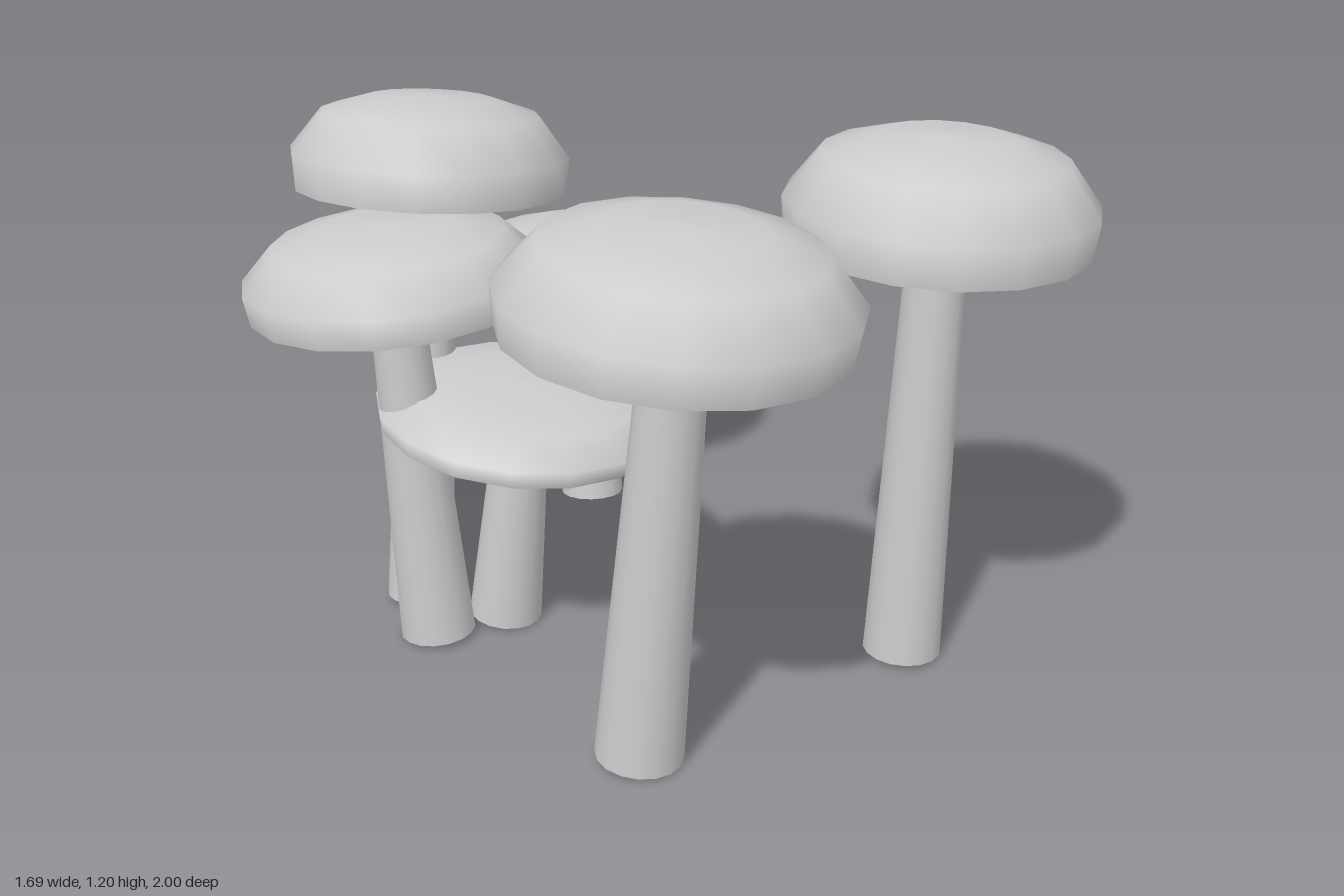
import * as THREE from 'three';

const SIDES = 16;

// Cap top: bottom rim, outer rim, shoulder, crown (fractions of radius and height)
const CAP = [[0.97, 0], [1, 0.38], [0.78, 0.8], [0.45, 0.95], [0, 1]];
// Underside: slightly bulging centre with a thin lip around it
const UNDER = [[0, -0.07], [0.5, -0.03], [0.9, 0.07], [0.97, 0]];

function lathe(profile, radius, height) {
  const points = profile.map(([r, y]) => new THREE.Vector2(r * radius, y * height));
  return new THREE.LatheGeometry(points, SIDES);
}

// base and top are the ends of the leaning stem; the cap sits square on its axis
function createMushroom({ base, top, r0, r1, cap, h }, material) {
  const mushroom = new THREE.Group();
  mushroom.name = 'mushroom';
  const a = new THREE.Vector3(...base);
  const b = new THREE.Vector3(...top);
  const axis = b.clone().sub(a).normalize();
  const lean = new THREE.Quaternion().setFromUnitVectors(new THREE.Vector3(0, 1, 0), axis);

  // Stem, an open tapered tube
  const length = a.distanceTo(b) + 0.01;
  const stem = new THREE.Mesh(new THREE.CylinderGeometry(r1, r0, length, SIDES, 1, true), material);
  stem.name = 'stem';
  stem.position.copy(a).addScaledVector(axis, length / 2);
  stem.quaternion.copy(lean);
  mushroom.add(stem);

  // Cap and its underside
  for (const [name, profile] of [['cap', CAP], ['capUnderside', UNDER]]) {
    const mesh = new THREE.Mesh(lathe(profile, cap, h), material);
    mesh.name = name;
    mesh.position.copy(b);
    mesh.quaternion.copy(lean);
    mushroom.add(mesh);
  }
  return mushroom;
}

export function createModel() {
  const group = new THREE.Group();
  group.name = 'mushroomCluster';
  const material = new THREE.MeshStandardMaterial({ color: 0xcccccc, side: THREE.DoubleSide });
  material.name = 'paleGrey';

  const mushrooms = [
    { base: [-0.23, 0.01, 0.59], top: [-0.177, 0.94, 0.64], r0: 0.093, r1: 0.066, cap: 0.355, h: 0.22 },
    { base: [0.48, 0.01, 0.405], top: [0.507, 0.97, 0.413], r0: 0.087, r1: 0.063, cap: 0.33, h: 0.23 },
    { base: [0.122, 0.01, -0.625], top: [0.133, 0.605, -0.69], r0: 0.079, r1: 0.057, cap: 0.303, h: 0.135 },
    { base: [-0.455, 0.01, -0.24], top: [-0.372, 0.975, -0.326], r0: 0.078, r1: 0.06, cap: 0.312, h: 0.215 },
    { base: [-0.465, 0.01, -0.062], top: [-0.523, 0.81, -0.09], r0: 0.085, r1: 0.058, cap: 0.322, h: 0.175 },
    { base: [-0.295, 0.01, -0.085], top: [-0.257, 0.495, -0.05], r0: 0.083, r1: 0.06, cap: 0.328, h: 0.105 },
  ];
  for (const m of mushrooms) group.add(createMushroom(m, material));
  return group;
}
